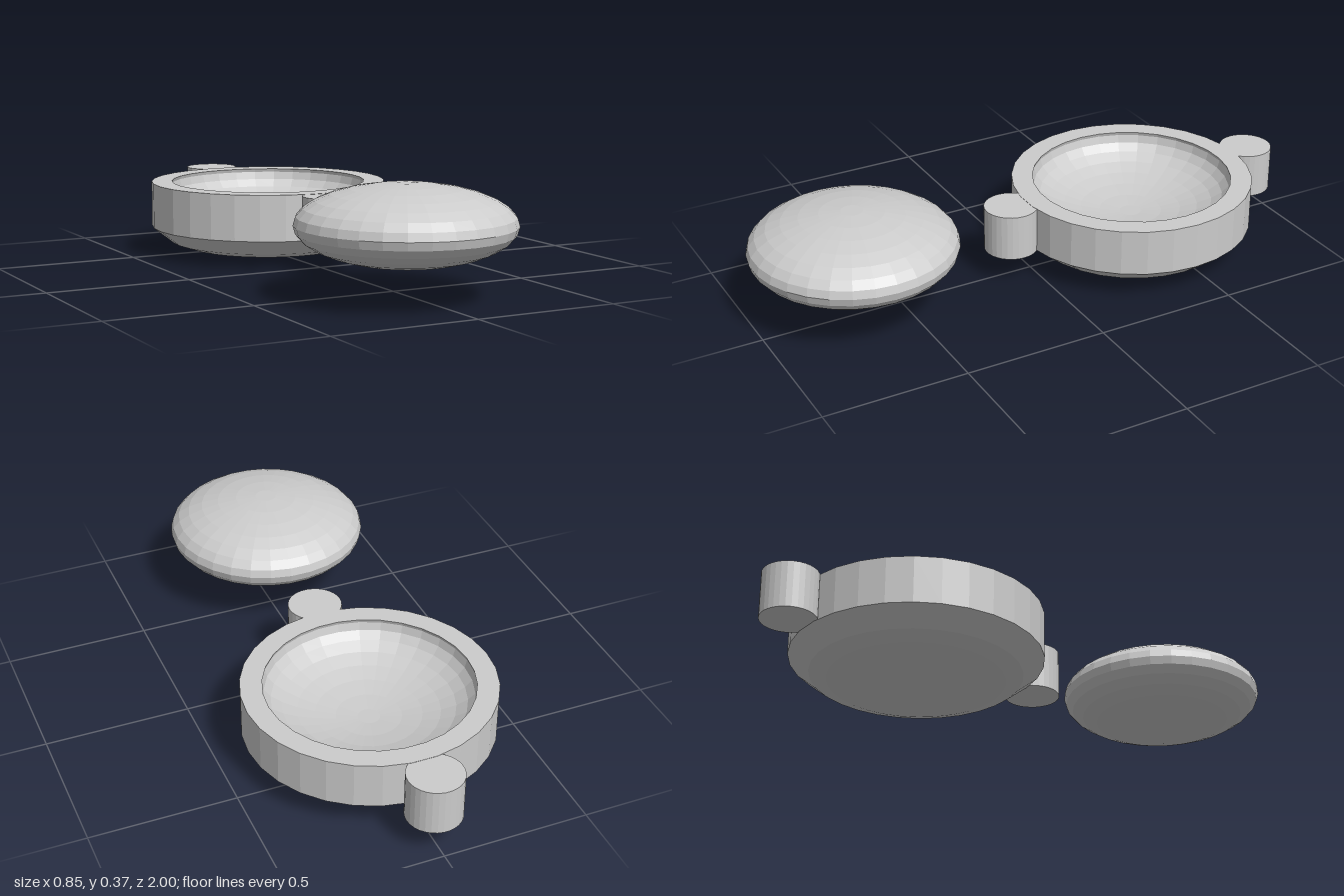
import * as THREE from 'three';

const SIDES = 30;
const LENS_R = 0.3555, LENS_H = 0.131, LENS_Y = 0.241; // flattened ball, also the shape of the hollow
const HOLLOW_Y = 0.25, RIM_Y = 0.262, BASE_Y = 0.1, DISH_Z = -0.411;

// Point on the flattened ball's outline, by angle in degrees up from the bottom pole
function ballPoint(degrees, centreY) {
  const a = THREE.MathUtils.degToRad(degrees);
  return new THREE.Vector2(LENS_R * Math.sin(a), centreY - LENS_H * Math.cos(a));
}

// Ball outline: flat poles and a ring every 12 degrees, from one angle to another
function ballRings(from, to, centreY) {
  const points = [];
  const step = Math.sign(to - from) * 12;
  for (let d = from; step * (to - d) >= 0; d += step) points.push(ballPoint(d, centreY));
  return points;
}

// Turned solid with a corner on the x axis
const turn = (profile) => new THREE.LatheGeometry(profile, SIDES, Math.PI / 2);

export function createModel() {
  const group = new THREE.Group();
  const material = new THREE.MeshStandardMaterial({ color: 0xcccccc, flatShading: true });

  const add = (name, geometry, x, y, z) => {
    const mesh = new THREE.Mesh(geometry, material);
    mesh.name = name;
    mesh.position.set(x, y, z);
    group.add(mesh);
  };

  // Dish: shallow underside, straight wall, flat rim, then the hollow
  const outside = [
    [0, 0], [0.105, 0.001], [0.297, 0.024], [0.356, 0.044], [0.4265, BASE_Y], [0.4265, RIM_Y], [0.352, RIM_Y],
  ].map(([r, y]) => new THREE.Vector2(r, y));
  const hollow = ballRings(90, 6, HOLLOW_Y);
  const hollowFloor = new THREE.Vector2(0, hollow.at(-1).y);
  add('dish', turn([...outside, ...hollow, hollowFloor]), 0, 0, DISH_Z);

  // Round lugs at the front and back of the dish, just under the rim plane
  const lugHeight = RIM_Y - BASE_Y - 0.001;
  for (const [name, z] of [['frontLug', 0.073], ['backLug', -0.906]]) {
    add(name, new THREE.CylinderGeometry(0.094, 0.094, lugHeight, SIDES, 1, false, Math.PI / 2),
      -0.004, BASE_Y + lugHeight / 2, z);
  }

  // Loose lens-shaped piece in front of the dish
  const rings = ballRings(6, 174, 0);
  const poles = [rings[0], rings.at(-1)].map((p) => new THREE.Vector2(0, p.y));
  add('lens', turn([poles[0], ...rings, poles[1]]), -0.041, LENS_Y, 0.646);

  return group;
}
